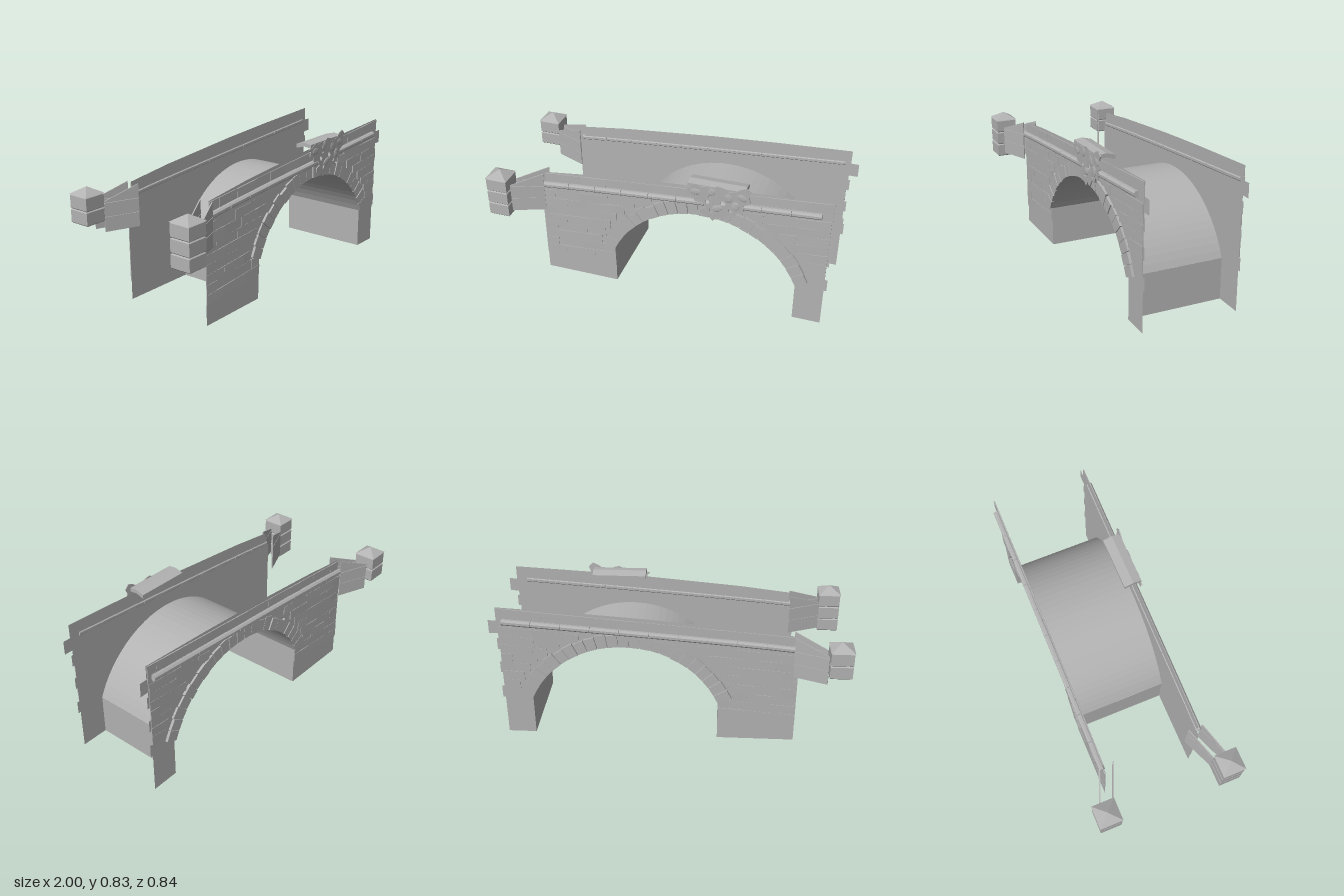
import * as THREE from 'three';

const stone = new THREE.MeshStandardMaterial({ color: 0xb2b2b2, side: THREE.DoubleSide, flatShading: true });
stone.name = 'grey stone';
const smoothStone = stone; // one colour throughout

const CX = 0.25, CY = 0.014, R = 0.576, SPRING = 0.24, WALL_Z = 0.275;
const A0 = Math.asin((SPRING - CY) / R);
const SLOPE = 0.08;
const V = (x, y) => new THREE.Vector2(x, y);

function seeded(seed) {
  return () => (seed = (seed * 16807) % 2147483647) / 2147483647;
}

function add(group, name, geometry) {
  const mesh = new THREE.Mesh(geometry, stone);
  mesh.name = name;
  group.add(mesh);
  return mesh;
}

// Flat outline given thickness between two z values
function slab(points, z0, z1, holes = []) {
  const shape = new THREE.Shape(points);
  holes.forEach(h => shape.holes.push(new THREE.Path(h)));
  const g = new THREE.ExtrudeGeometry(shape, { depth: Math.abs(z1 - z0), bevelEnabled: false });
  return g.translate(0, 0, Math.min(z0, z1));
}

function arcPoints(n, r = R) {
  return Array.from({ length: n + 1 }, (_, i) => {
    const a = A0 + (Math.PI - 2 * A0) * (i / n);
    return V(CX + r * Math.cos(a), CY + r * Math.sin(a));
  });
}

// Spandrel wall: thin sheet with an arched opening and a toothed end
function wallSheet(s) {
  const outline = [
    V(-0.72, 0), V(-0.72, 0.59), V(-0.69, 0.6), V(-0.69, 0.68), V(-0.4, 0.715), V(0.14, 0.762), V(0.5, 0.786),
    V(0.95, 0.81), V(0.95, 0.73), V(0.995, 0.73), V(0.995, 0.65), V(0.945, 0.65), V(0.945, 0.62), V(0.955, 0.62),
    V(0.955, 0.55), V(0.94, 0.55), V(0.94, 0.47), V(0.952, 0.47), V(0.952, 0.4), V(0.94, 0.4),
    V(0.94, 0.31), V(0.955, 0.31), V(0.955, 0.235), V(0.94, 0.235), V(0.94, 0), V(0.78, 0),
    ...arcPoints(32), V(-0.28, 0)
  ];
  return new THREE.ShapeGeometry(new THREE.Shape(outline)).translate(0, 0, s * WALL_Z);
}

// Courses of slightly uneven facing blocks on either side of the arch
function facing(group, s, rnd) {
  const h = 0.0555;
  const ringHalf = y => {
    const d = 0.655 ** 2 - (y - CY) ** 2;
    return y < SPRING ? 0.53 : d > 0 ? Math.sqrt(d) : 0;
  };
  for (let row = 0; row < 10; row++) {
    const y0 = 0.118 + row * h;
    const yAt = x => y0 + SLOPE * (x + 0.72);
    const left = ringHalf(yAt(-0.45)), right = ringHalf(yAt(0.7));
    const spans = left && right
      ? [[row > 8 ? -0.69 : -0.72, CX - left], [CX + right, 0.94]]
      : [[row > 7 ? -0.69 : -0.72, 0.945]];
    for (const [a, b] of spans) {
      if (b - a < 0.03 || (a > CX && yAt(a) < SPRING)) continue;
      let x = a, first = row % 2;
      while (x < b - 0.001) {
        let e = x + (first ? 0.08 : 0.13 + rnd() * 0.06);
        first = 0;
        if (e > b - 0.05) e = b;
        const g = slab([V(x, yAt(x)), V(e, yAt(e)), V(e, yAt(e) + h - 0.001), V(x, yAt(x) + h - 0.001)],
          s * WALL_Z, s * (WALL_Z + 0.003));
        // tilt the outer face a little
        const p = g.attributes.position, near = rnd() * 0.004, far = rnd() * 0.004;
        for (let i = 0; i < p.count; i++) {
          if (Math.abs(p.getZ(i)) > WALL_Z + 0.001)
            p.setZ(i, p.getZ(i) + s * (p.getX(i) < (x + e) / 2 ? near : far));
        }
        g.computeVertexNormals();
        add(group, 'facingBlock', g);
        x = e;
      }
    }
  }
}

// Ring of wedge stones round the opening
function voussoirs(group, s, rnd) {
  const n = 23, step = (Math.PI - 2 * A0) / n;
  for (let i = 0; i < n; i++) {
    const a = A0 + i * step + 0.003, b = A0 + (i + 1) * step - 0.003;
    const ro = R + 0.07 + rnd() * 0.015;
    const at = (r, t) => V(CX + r * Math.cos(t), CY + r * Math.sin(t));
    add(group, 'archStone', slab([at(R, a), at(ro, a), at(ro, b), at(R, b)],
      s * WALL_Z, s * (WALL_Z + 0.01 + rnd() * 0.006)));
  }
}

// Rounded string course made of short lengths
function coping(group, s, end) {
  const n = 10, yAt = x => 0.603 + 0.122 * Math.pow((x + 0.7) / 1.6, 0.9);
  for (let i = 0; i < n; i++) {
    const x0 = -0.7 + (end + 0.7) * i / n, x1 = -0.7 + (end + 0.7) * (i + 1) / n;
    const a = new THREE.Vector3(x0, yAt(x0), s * 0.286), b = new THREE.Vector3(x1 - 0.002, yAt(x1), s * 0.286);
    const g = new THREE.CylinderGeometry(0.0175, 0.0175, a.distanceTo(b), 8).rotateY(Math.PI / 8);
    const m = add(group, 'copingLength', g);
    m.position.copy(a).lerp(b, 0.5);
    m.quaternion.setFromUnitVectors(new THREE.Vector3(0, 1, 0), b.clone().sub(a).normalize());
  }
}

// Thin wing panel between the pillar and the wall, in three courses
function wing(group, name, s, zPillar, zWall) {
  const len = Math.hypot(0.18, zWall - zPillar), angle = -Math.atan2(s * (zWall - zPillar), 0.18);
  const courses = [
    [V(0, 0.44), V(len, 0.44), V(len, 0.522), V(0, 0.522)],
    [V(0, 0.524), V(len, 0.524), V(len, 0.6), V(0, 0.6)],
    [V(0, 0.602), V(len, 0.602), V(len, 0.68), V(0, 0.61)]
  ];
  courses.forEach((pts, i) => {
    const t = i === 1 ? 0.004 : 0.003;
    const m = add(group, name, slab(pts, -t, t));
    m.rotation.y = angle;
    m.position.set(-0.873, 0, s * zPillar);
  });
}

// Block with chamfered top and bottom edges
function chamferedBlock(w, h, c) {
  const k = Math.SQRT1_2, pts = [V(0, 0), V((w / 2 - c) / k, 0), V(w / 2 / k, c), V(w / 2 / k, h - c), V((w / 2 - c) / k, h), V(0, h)];
  return new THREE.LatheGeometry(pts, 4).rotateY(Math.PI / 4);
}

function pillar(s) {
  const group = new THREE.Group();
  group.name = s > 0 ? 'frontPillar' : 'backPillar';
  for (let i = s > 0 ? 0 : 1; i < 3; i++) {
    add(group, 'pillarBlock', chamferedBlock(0.123, 0.08, 0.006)).position.y = 0.42 + i * 0.08;
  }
  add(group, 'pillarCap', new THREE.ConeGeometry(0.065 * Math.SQRT2, 0.038, 4).rotateY(Math.PI / 4)).position.y = 0.679;
  group.position.set(-0.935, 0, s * 0.355);
  return group;
}

// Carved crest with a jagged outline and pierced openings
function crest() {
  const group = new THREE.Group();
  group.name = 'carvedCrest';
  const outline = [
    [0.145, 0.775], [0.18, 0.782], [0.21, 0.803], [0.235, 0.79], [0.265, 0.797], [0.29, 0.79], [0.33, 0.812],
    [0.365, 0.805], [0.385, 0.785], [0.43, 0.792], [0.455, 0.815], [0.49, 0.83], [0.515, 0.805], [0.503, 0.78],
    [0.512, 0.735], [0.475, 0.715], [0.472, 0.66], [0.445, 0.668], [0.425, 0.635], [0.395, 0.64], [0.36, 0.595],
    [0.335, 0.61], [0.305, 0.58], [0.285, 0.605], [0.24, 0.62], [0.235, 0.645], [0.265, 0.66], [0.25, 0.69],
    [0.205, 0.69], [0.195, 0.725], [0.16, 0.735], [0.165, 0.76]
  ].map(p => V(...p));
  const holes = [[0.275, 0.7, 0.014], [0.3, 0.648, 0.016], [0.36, 0.705, 0.017], [0.405, 0.668, 0.013], [0.29, 0.735, 0.009]]
    .map(([x, y, r]) => [0, 1, 2, 3, 4].map(i => V(x + r * Math.cos(i * 1.257), y + r * 1.2 * Math.sin(i * 1.257))));
  const g = slab(outline, 0.302, 0.308, holes);
  const p = g.attributes.position;
  for (let i = 0; i < p.count; i++) p.setZ(i, p.getZ(i) + (p.getY(i) - 0.74) * 0.04);
  g.computeVertexNormals();
  add(group, 'crestPanel', g);
  // raised scrolls on the face
  [[0.21, 0.755], [0.3, 0.77], [0.39, 0.75], [0.465, 0.765], [0.33, 0.67], [0.43, 0.7]].forEach(([x, y], i) => {
    const m = add(group, 'crestScroll', new THREE.SphereGeometry(0.03, 7, 5));
    m.scale.set(1.1, 0.7, 0.15);
    m.rotation.z = i * 0.9;
    m.position.set(x, y, 0.308);
  });
  // bent hood behind the crest
  const hood = slab([V(0.208, 0.77), V(0.26, 0.786), V(0.308, 0.78), V(0.308, 0.802), V(0.26, 0.808), V(0.208, 0.794)], 0, 0.315);
  add(group, 'crestHood', hood.rotateY(-Math.PI / 2).translate(0.48, 0, 0));
  return group;
}

// Vault underside with the two inner pier faces
function vault() {
  const group = new THREE.Group();
  group.name = 'vault';
  const theta = Math.PI - 2 * A0;
  const g = new THREE.CylinderGeometry(R, R, WALL_Z * 2, 32, 1, true, -theta / 2, theta);
  g.rotateX(-Math.PI / 2);
  add(group, 'archBarrel', g).position.set(CX, CY, 0);
  for (const x of [-0.28, 0.78]) {
    add(group, 'pierFace', new THREE.PlaneGeometry(WALL_Z * 2, SPRING).rotateY(x < 0 ? Math.PI / 2 : -Math.PI / 2))
      .position.set(x, SPRING / 2, 0);
  }
  return group;
}

export function createModel() {
  const model = new THREE.Group();
  model.name = 'stoneBridge';
  model.add(vault());
  for (const s of [1, -1]) {
    const side = new THREE.Group(), rnd = seeded(s > 0 ? 41 : 97);
    side.name = s > 0 ? 'frontSide' : 'backSide';
    add(side, 'spandrelWall', wallSheet(s));
    facing(side, s, rnd);
    voussoirs(side, s, rnd);
    coping(side, s, s > 0 ? 0.89 : 0.92);
    wing(side, 'outerWing', s, 0.37, 0.3);
    wing(side, 'innerWing', s, 0.295, 0.22);
    side.add(pillar(s));
    model.add(side);
  }
  model.add(crest());
  return model;
}
